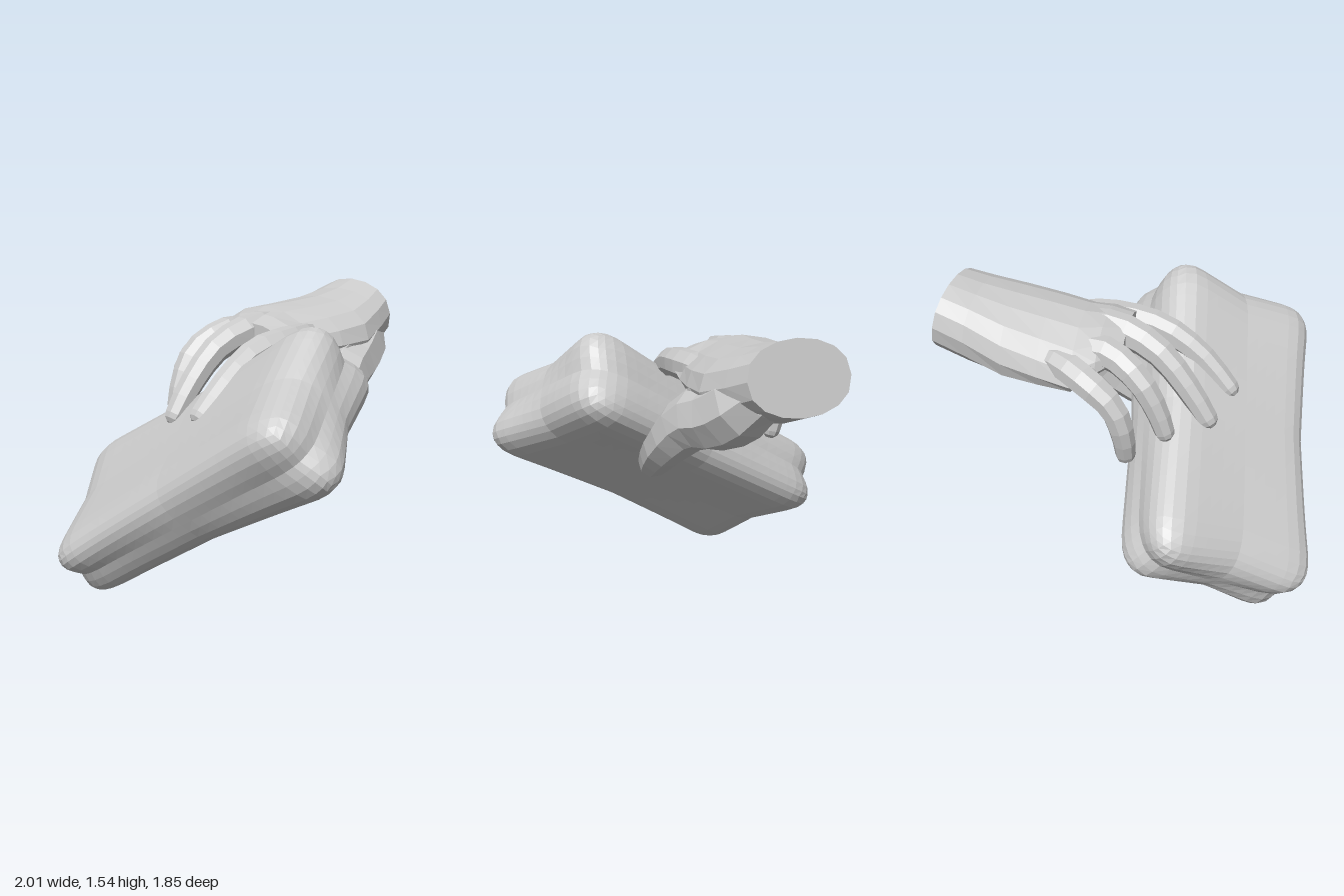
import * as THREE from 'three';

const material = new THREE.MeshStandardMaterial({ color: 0xcccccc, flatShading: true });
const V = (x, y, z) => new THREE.Vector3(x, y, z);

function addMesh(parent, name, geometry) {
  const mesh = new THREE.Mesh(geometry, material);
  mesh.name = name;
  parent.add(mesh);
}

// Closed skin over a row of rings, each running counter-clockwise about the path
function loft(rings) {
  const n = rings[0].length, pos = [], idx = [];
  rings.forEach(r => r.forEach(p => pos.push(p.x, p.y, p.z)));
  for (let i = 0; i < rings.length - 1; i++) {
    for (let j = 0; j < n; j++) {
      const a = i * n + j, b = i * n + (j + 1) % n;
      idx.push(a, b, b + n, a, b + n, a + n);
    }
  }
  [rings[0], rings[rings.length - 1]].forEach((ring, end) => {
    const mid = ring.reduce((s, p) => s.add(p), V(0, 0, 0)).divideScalar(n);
    const centre = pos.length / 3, base = end ? (rings.length - 1) * n : 0;
    pos.push(mid.x, mid.y, mid.z);
    for (let j = 0; j < n; j++) {
      const a = base + j, b = base + (j + 1) % n;
      idx.push(centre, end ? a : b, end ? b : a);
    }
  });
  const g = new THREE.BufferGeometry();
  g.setAttribute('position', new THREE.Float32BufferAttribute(pos, 3));
  g.setIndex(idx);
  g.computeVertexNormals();
  return g;
}

// Tapered digit along points [x, y, z, radius] with a rounded tip
function digit(points, sides = 8, steps = 10) {
  const curve = new THREE.CatmullRomCurve3(points.map(p => V(p[0], p[1], p[2])));
  const { tangents, normals, binormals } = curve.computeFrenetFrames(steps);
  const ring = (centre, i, r) => Array.from({ length: sides }, (_, j) => {
    const a = (j + 0.5) / sides * Math.PI * 2;
    return centre.clone().addScaledVector(normals[i], r * Math.cos(a)).addScaledVector(binormals[i], r * Math.sin(a));
  });
  const rings = [];
  for (let i = 0; i <= steps; i++) {
    const t = curve.getUtoTmapping(i / steps) * (points.length - 1);
    const k = Math.min(Math.floor(t), points.length - 2);
    rings.push(ring(curve.getPointAt(i / steps), i, THREE.MathUtils.lerp(points[k][3], points[k + 1][3], t - k)));
  }
  const r = points[points.length - 1][3], end = curve.getPointAt(1);
  for (const [forward, scale] of [[0.5, 0.84], [0.85, 0.45]]) {
    rings.push(ring(end.clone().addScaledVector(tangents[steps], r * forward), steps, r * scale));
  }
  return loft(rings);
}

// Soft tilted block: a rounded box with drawn-out tips, blended between eight corners
function blockGeometry() {
  const half = [0.4, 0.21, 0.8], round = V(0.17, 0.18, 0.25), grow = [1.13, 1.24, 1.09];
  // order: width - / +, inside thickness - / +, inside length - / +
  const corners = [
    V(-0.77, 0.0, -0.47), V(-0.12, 0.36, -0.78), V(-1.0, 0.22, -0.55), V(-0.34, 0.6, -0.89),
    V(-0.62, 0.78, 0.9), V(0.1, 1.1, 0.57), V(-0.83, 1.05, 0.7), V(-0.17, 1.42, 0.45),
  ];
  const g = new THREE.BoxGeometry(...half.map(h => h * 2), 14, 8, 24);
  const pos = g.attributes.position, p = V(0, 0, 0), core = V(0, 0, 0);
  const inner = V(...half).sub(round), innerMin = inner.clone().negate();
  for (let i = 0; i < pos.count; i++) {
    p.fromBufferAttribute(pos, i);
    core.copy(p).clamp(innerMin, inner);
    p.sub(core).divide(round);
    const norm = p.toArray().reduce((s, v) => s + Math.abs(v) ** 2.5, 0) ** 0.4;
    p.divideScalar(norm).multiply(round).add(core);
    let c = [p.x, p.y, p.z].map((v, k) => v / half[k] * grow[k]);
    const tip = 1 + 0.08 * Math.abs(c[0] * c[1] * c[2]);
    c = c.map(v => v * tip);
    if (c[0] < 0) c[0] *= 1 - 0.05 * Math.max(0, 1 - c[2] ** 4); // slightly hollow far side
    p.set(0, 0, 0);
    corners.forEach((corner, k) => {
      const w = [1, 2, 4].reduce((s, bit, axis) => s * (1 + (k & bit ? 1 : -1) * c[axis]) / 2, 1);
      p.addScaledVector(corner, w);
    });
    pos.setXYZ(i, p.x, p.y, p.z);
  }
  g.computeVertexNormals();
  return g;
}

// Wrist and back of the hand: [x, yTop, yBottom, zMin, zMax, droop at the sides]
function palmGeometry() {
  const sections = [
    [0.955, 1.53, 1.16, -0.355, 0.18, 0],
    [0.8, 1.49, 1.1, -0.385, 0.22, 0],
    [0.6, 1.46, 1.08, -0.45, 0.26, 0.03],
    [0.4, 1.445, 1.13, -0.5, 0.23, 0.06],
    [0.22, 1.435, 1.19, -0.545, 0.18, 0.09],
    [0.11, 1.415, 1.25, -0.46, 0.165, 0.07],
    [0.0, 1.375, 1.28, -0.33, 0.13, 0.05],
  ];
  const sides = 16;
  return loft(sections.map(([x, y1, y0, z0, z1, droop], i) => {
    const tilt = Math.max(0, 1 - i / 2);
    return Array.from({ length: sides }, (_, j) => {
      const a = j / sides * Math.PI * 2, c = Math.cos(a), s = Math.sin(a);
      const dz = c * (z1 - z0) / 2;
      const dy = Math.sign(s) * Math.abs(s) ** 0.85 * (y1 - y0) / 2;
      const sag = droop * c * c * (c < 0 ? 1.4 : 0.9);
      return V(x - tilt * (0.19 * dy + 0.09 * dz), (y0 + y1) / 2 + dy - sag, (z0 + z1) / 2 + dz);
    });
  }));
}

export function createModel() {
  const model = new THREE.Group();
  model.name = 'handHoldingBlock';
  addMesh(model, 'block', blockGeometry());

  const hand = new THREE.Group();
  hand.name = 'hand';
  model.add(hand);
  addMesh(hand, 'palmAndWrist', palmGeometry());

  // Every digit starts inside the palm; the web joins thumb and index finger
  const digits = {
    indexFinger: [[0.42, 1.26, 0.06, 0.07], [0.24, 1.28, 0.08, 0.09], [0.07, 1.28, 0.09, 0.086], [-0.15, 1.25, 0.06, 0.076], [-0.36, 1.12, 0.03, 0.066], [-0.505, 0.97, -0.005, 0.057]],
    middleFinger: [[0.42, 1.29, -0.12, 0.07], [0.22, 1.33, -0.13, 0.09], [0.05, 1.33, -0.14, 0.088], [-0.16, 1.25, -0.195, 0.076], [-0.33, 1.07, -0.235, 0.066], [-0.43, 0.92, -0.255, 0.057]],
    ringFinger: [[0.42, 1.27, -0.24, 0.07], [0.22, 1.29, -0.31, 0.085], [0.06, 1.29, -0.34, 0.082], [-0.1, 1.2, -0.41, 0.07], [-0.19, 1.06, -0.425, 0.062], [-0.24, 0.92, -0.425, 0.052]],
    littleFinger: [[0.44, 1.25, -0.34, 0.06], [0.28, 1.26, -0.44, 0.08], [0.13, 1.21, -0.52, 0.08], [0.0, 1.11, -0.555, 0.07], [-0.05, 0.97, -0.555, 0.062], [-0.06, 0.83, -0.525, 0.052]],
    thumb: [[0.86, 1.32, 0, 0.12], [0.74, 1.2, 0.08, 0.175], [0.58, 1.11, 0.13, 0.18], [0.42, 1.06, 0.2, 0.155], [0.25, 0.91, 0.265, 0.118], [0.11, 0.8, 0.265, 0.093], [0.04, 0.75, 0.255, 0.078]],
    thumbWeb: [[0.78, 1.3, 0.04, 0.15], [0.56, 1.22, 0.1, 0.15], [0.42, 1.18, 0.14, 0.11], [0.35, 1.14, 0.17, 0.07]],
  };
  for (const [name, points] of Object.entries(digits)) addMesh(hand, name, digit(points));
  return model;
}
